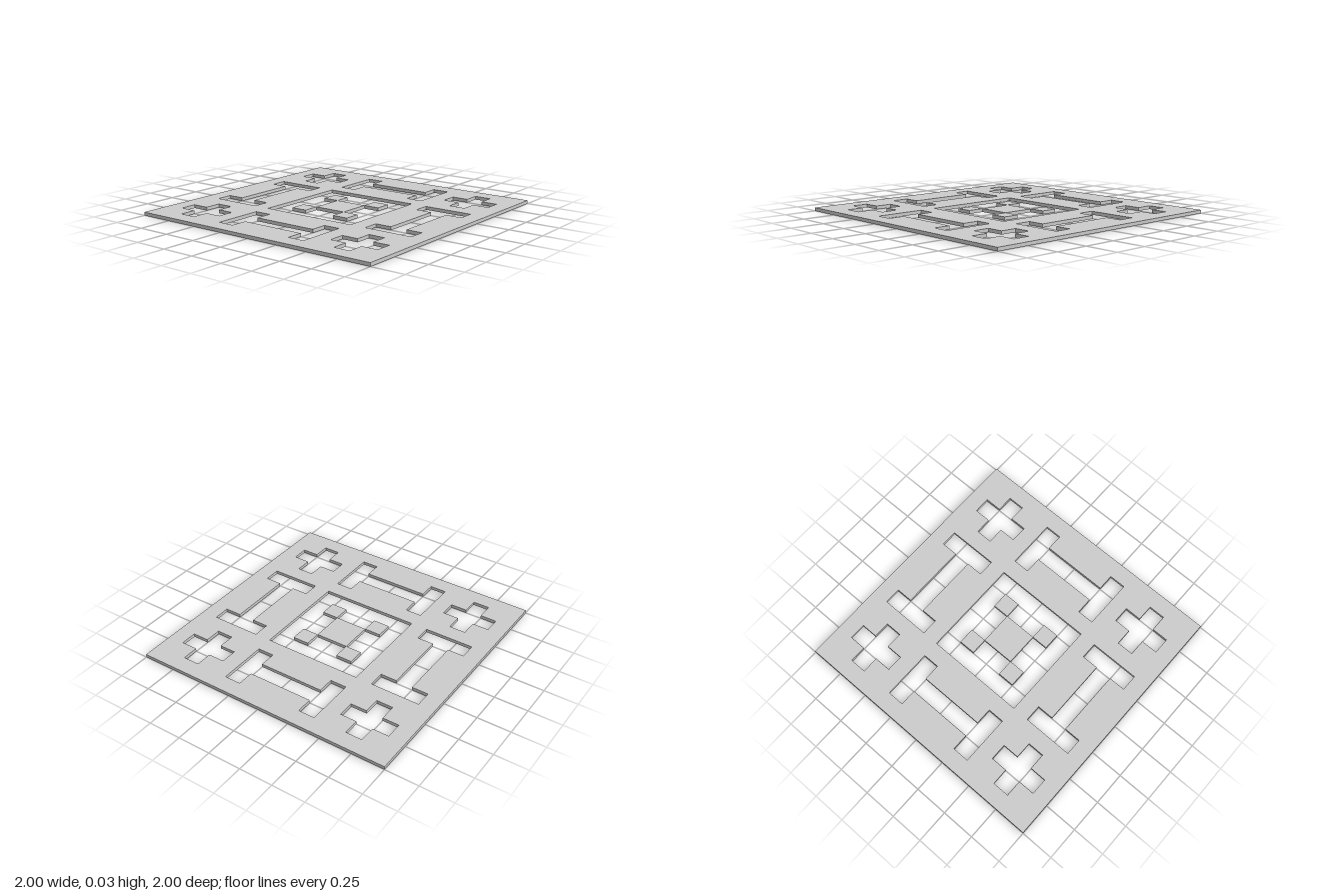
import * as THREE from 'three';

const U = 0.125;      // one cell of the 16 x 16 layout
const THICK = 0.025;

// Outlines in cell units, centred on the origin
const square = (h) => [[-h, -h], [h, -h], [h, h], [-h, h]];
const cross = [
  [-0.5, -1.5], [0.5, -1.5], [0.5, -0.5], [1.5, -0.5], [1.5, 0.5], [0.5, 0.5],
  [0.5, 1.5], [-0.5, 1.5], [-0.5, 0.5], [-1.5, 0.5], [-1.5, -0.5], [-0.5, -0.5],
];
const beam = [
  [-3, -1.5], [-2, -1.5], [-2, -0.5], [2, -0.5], [2, -1.5], [3, -1.5],
  [3, 1.5], [2, 1.5], [2, 0.5], [-2, 0.5], [-2, 1.5], [-3, 1.5],
];
const turned = (pts) => pts.map(([x, y]) => [-y, x]);
const place = (pts, cx, cy) => pts.map(([x, y]) => new THREE.Vector2((x + cx) * U, (y + cy) * U));

export function createModel() {
  const model = new THREE.Group();
  model.name = 'latticePanel';
  const material = new THREE.MeshStandardMaterial({ color: 0xcccccc, flatShading: true });

  // Flat plate lying on the ground
  const addPlate = (name, shape) => {
    const geometry = new THREE.ExtrudeGeometry(shape, { depth: THICK, bevelEnabled: false });
    geometry.rotateX(-Math.PI / 2);
    const mesh = new THREE.Mesh(geometry, material);
    mesh.name = name;
    model.add(mesh);
  };

  // Outer frame: crosses at the corners, beams along the sides, square window in the middle
  const frame = new THREE.Shape(place(square(8), 0, 0));
  const cut = (pts, cx, cy) => frame.holes.push(new THREE.Path(place(pts, cx, cy).reverse()));
  cut(square(3), 0, 0);
  for (const s of [-1, 1]) {
    cut(beam, 0, 5.5 * s);
    cut(turned(beam), 5.5 * s, 0);
    for (const t of [-1, 1]) cut(cross, 5.5 * s, 5.5 * t);
  }
  addPlate('piercedFrame', frame);

  // Centre motif: a square with a small tile touching each corner
  addPlate('centreTile', new THREE.Shape(place(square(1), 0, 0)));
  for (const s of [-1, 1]) {
    for (const t of [-1, 1]) {
      addPlate('cornerTile', new THREE.Shape(place(square(0.5), 1.5 * s, 1.5 * t)));
    }
  }
  return model;
}
